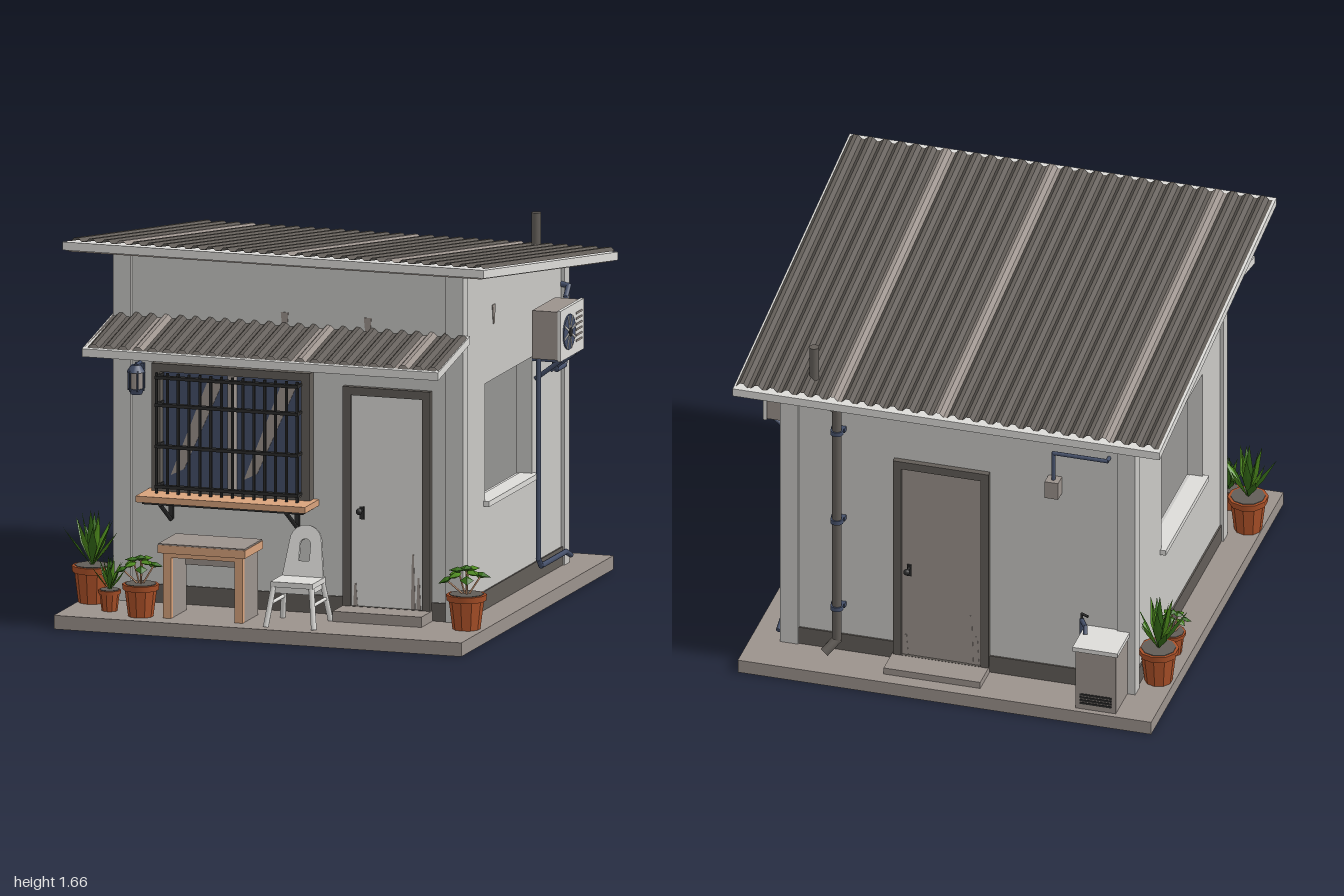
import * as THREE from 'three';

const mat = (name, color) => Object.assign(new THREE.MeshStandardMaterial({ color, side: THREE.DoubleSide }), { name });
const WALL = mat('wall plaster', 0xc9c8c5), WHITE = mat('white trim', 0xdddcd9), STONE = mat('concrete', 0x9b928c);
const DARK = mat('dark sheet', 0x625d58), BLACK = mat('black metal', 0x2b2b2b), BLUE = mat('blue steel', 0x45506a);
const WOOD = mat('wood', 0xd9a37c), CLAY = mat('terracotta', 0xac5128), LEAF = mat('leaf green', 0x4d8a1c), FERN = mat('deep green', 0x356b18);

export function createModel() {
  const root = new THREE.Group();
  let parent = root;
  const group = (name) => { parent = new THREE.Group(); parent.name = name; root.add(parent); return parent; };
  const add = (name, geo, m) => {
    const mesh = new THREE.Mesh(geo, m);
    mesh.name = name;
    parent.add(mesh);
    return mesh;
  };
  // box given by its limits on each axis
  const box = (name, m, x0, x1, y0, y1, z0, z1) =>
    add(name, new THREE.BoxGeometry(x1 - x0, y1 - y0, z1 - z0).translate((x0 + x1) / 2, (y0 + y1) / 2, (z0 + z1) / 2), m);
  const path = (C, pts) => new C(pts.map(([a, b]) => new THREE.Vector2(a, b)));
  // polygon in (z, y), extruded from x0 to x1
  const side = (name, m, pts, x0, x1, hole) => {
    const s = path(THREE.Shape, pts);
    if (hole) s.holes.push(path(THREE.Path, hole));
    return add(name, new THREE.ExtrudeGeometry(s, { depth: x1 - x0, bevelEnabled: false }).rotateY(-Math.PI / 2).translate(x1, 0, 0), m);
  };
  // polygon in (x, y), extruded from z by a depth
  const front = (name, m, pts, z, depth, holes = []) => {
    const s = path(THREE.Shape, pts);
    holes.forEach((h) => s.holes.push(path(THREE.Path, h)));
    return add(name, new THREE.ExtrudeGeometry(s, { depth, bevelEnabled: false }).translate(0, 0, z), m);
  };
  const rect = (a0, a1, b0, b1) => [[a0, b0], [a1, b0], [a1, b1], [a0, b1]];
  // chain of round rods through points
  const rods = (name, m, r, pts, sides = 8) => {
    for (let i = 1; i < pts.length; i++) {
      const a = new THREE.Vector3(...pts[i - 1]), b = new THREE.Vector3(...pts[i]);
      const mesh = add(name, new THREE.CylinderGeometry(r, r, a.distanceTo(b) + r * 0.8, sides), m);
      mesh.position.copy(a).lerp(b, 0.5);
      mesh.quaternion.setFromUnitVectors(new THREE.Vector3(0, 1, 0), b.sub(a).normalize());
    }
  };
  // corrugated sheet with a few paler ribs
  const sheet = (name, x0, x1, n, zF, yF, zB, yB, pale) => {
    const cols = n * 4, g = new THREE.PlaneGeometry(x1 - x0, 1, cols, 1).translate((x0 + x1) / 2, 0, 0), p = g.attributes.position;
    for (let i = 0; i < p.count; i++) {
      const back = i <= cols, rib = (i % (cols + 1)) % 4 > 1 ? 0.016 : 0;
      p.setXYZ(i, p.getX(i), (back ? yB : yF) + rib, back ? zB : zF);
    }
    g.clearGroups();
    for (let k = 0; k < n; k++) g.addGroup(k * 24, 24, pale.includes(k) ? 1 : 0);
    const flat = g.toNonIndexed();
    flat.computeVertexNormals();
    add(name, flat, [DARK, STONE]);
  };

  group('base');
  box('slab', STONE, -0.89, 0.95, 0, 0.06, -1, 1);
  box('frontStep', STONE, 0.28, 0.68, 0.06, 0.105, 0.58, 0.74);
  box('backStep', STONE, -0.11, 0.32, 0.06, 0.09, -0.935, -0.78);

  group('walls');
  const roofY = (z) => 1.645 + (z - 0.79) * 0.1449;
  const wallTop = (z) => roofY(z) - 0.03;
  const profile = [[-0.785, 0.06], [0.585, 0.06], [0.585, wallTop(0.585)], [-0.785, wallTop(-0.785)]];
  for (const [x0, x1, o0, o1] of [[-0.745, -0.675, -0.77, -0.69], [0.735, 0.805, 0.75, 0.83]]) {
    side('sideWall', WALL, profile, x0, x1, rect(-0.35, 0.27, 0.53, 1.04));
    box('sideSill', WHITE, o0, o1, 0.508, 0.532, -0.37, 0.285);
  }
  box('frontWall', WALL, -0.68, 0.74, 0.06, wallTop(0.52), 0.52, 0.585);
  box('backWall', WALL, -0.68, 0.74, 0.06, wallTop(-0.785), -0.785, -0.72);
  for (const [x0, x1] of [[-0.76, -0.68], [0.74, 0.82]])
    for (const [z0, z1] of [[0.535, 0.6], [-0.8, -0.735]])
      side('cornerPost', WALL, [[z0, 0.06], [z1, 0.06], [z1, wallTop(z1)], [z0, wallTop(z0)]], x0, x1);
  // dark skirting around the foot of the walls
  box('skirting', DARK, -0.68, 0.29, 0.06, 0.14, 0.58, 0.592);
  box('skirting', DARK, 0.67, 0.74, 0.06, 0.14, 0.58, 0.592);
  box('skirting', DARK, -0.68, -0.1, 0.06, 0.14, -0.792, -0.78);
  box('skirting', DARK, 0.31, 0.74, 0.06, 0.14, -0.792, -0.78);
  for (const x of [-0.752, 0.8]) box('skirting', DARK, x, x + 0.012, 0.06, 0.14, -0.735, 0.535);
  // weathering streaks
  for (const x of [0.01, 0.385]) front('stain', STONE, [[x - 0.017, 1.36], [x - 0.008, 1.27], [x + 0.01, 1.27], [x + 0.017, 1.36]], 0.585, 0.003);
  for (const x of [-0.748, 0.805]) side('stain', STONE, [[0.135, 1.365], [0.148, 1.28], [0.162, 1.28], [0.175, 1.365]], x, x + 0.003);

  group('roof');
  const roofStrip = (name, m, z0, z1, lo, hi, x0, x1) =>
    side(name, m, [[z0, roofY(z0) + lo], [z1, roofY(z1) + lo], [z1, roofY(z1) + hi], [z0, roofY(z0) + hi]], x0, x1);
  roofStrip('roofDeck', WHITE, -0.975, 0.795, -0.036, 0, -0.92, 0.98);
  roofStrip('soffit', STONE, -0.955, 0.775, -0.042, -0.034, -0.9, 0.96);
  sheet('roofSheet', -0.91, 0.97, 28, 0.77, roofY(0.77) + 0.004, -0.96, roofY(-0.96) + 0.004, [3, 14, 21]);

  group('awning');
  const awnY = (z) => 1.305 - (0.56 - z) * -0.195;
  const aw = (z) => 1.3 - (z - 0.56) * 0.19;
  const awnStrip = (name, m, z0, z1, lo, hi, x0, x1) =>
    side(name, m, [[z0, aw(z0) + lo], [z1, aw(z1) + lo], [z1, aw(z1) + hi], [z0, aw(z0) + hi]], x0, x1);
  for (const x of [-0.77, 0.82]) awnStrip('awningSide', WHITE, 0.56, 0.98, -0.03, 0.005, x, x + 0.018);
  awnStrip('awningFascia', WHITE, 0.962, 0.98, -0.03, 0.005, -0.77, 0.838);
  awnStrip('awningBoard', DARK, 0.585, 0.965, -0.012, -0.004, -0.755, 0.825);
  sheet('awningSheet', -0.765, 0.833, 24, 0.965, aw(0.965) + 0.005, 0.585, aw(0.585) + 0.005, [3, 14, 21]);
  for (const x of [-0.53, 0.03, 0.59]) {
    side('awningBracket', WOOD, [[0.585, 1.205], [0.9, 1.205], [0.9, 1.22], [0.585, 1.285]], x - 0.012, x + 0.012);
    box('bracketFoot', BLACK, x - 0.007, x + 0.007, 1.19, 1.205, 0.585, 0.62);
  }

  group('frontWindow');
  front('windowFrame', DARK, rect(-0.575, 0.14, 0.55, 1.11), 0.58, 0.055, [rect(-0.535, 0.1, 0.57, 1.075)]);
  box('glass', BLUE, -0.54, 0.105, 0.565, 1.08, 0.586, 0.595);
  box('mullion', STONE, -0.232, -0.203, 0.57, 1.075, 0.59, 0.63);
  for (const x of [-0.5, -0.17]) front('reflection', STONE, [[x, 0.62], [x + 0.06, 0.65], [x + 0.24, 1.05], [x + 0.17, 1.05]], 0.595, 0.003);
  box('windowSill', WOOD, -0.6, 0.165, 0.528, 0.555, 0.585, 0.77);
  box('sillRail', BLACK, -0.58, 0.145, 0.515, 0.528, 0.59, 0.74);
  for (const x of [-0.5, 0.07]) {
    rods('sillBracket', BLACK, 0.009, [[x, 0.515, 0.735], [x, 0.43, 0.6]]);
    box('sillBracketPlate', BLACK, x - 0.01, x + 0.01, 0.43, 0.52, 0.585, 0.6);
  }
  for (let i = 0; i < 14; i++) {
    const x = -0.535 + i * 0.0488;
    box('bar', BLACK, x - 0.005, x + 0.005, 0.555, 1.08, 0.675, 0.687);
  }
  for (const y of [0.585, 0.76, 0.94, 1.06]) {
    box('crossBar', BLACK, -0.54, 0.105, y - 0.007, y + 0.007, 0.668, 0.694);
    for (const x of [-0.535, 0.1]) box('barTie', BLACK, x - 0.005, x + 0.005, y - 0.006, y + 0.006, 0.6, 0.68);
  }

  // doors; s is the outward z direction
  const door = (name, x0, x1, y0, y1, wallZ, s, leaf, knobX) => {
    const g = group(name), w = x1 - x0;
    front('doorFrame', DARK, [[0, y0], [w, y0], [w, y1], [0, y1]], -0.02, 0.045, [rect(0.036, w - 0.036, y0 + 0.001, y1 - 0.036)]);
    box('doorLeaf', leaf, 0.036, w - 0.036, y0, y1 - 0.036, 0, 0.012);
    box('lockPlate', BLACK, knobX - 0.01, knobX + 0.01, 0.485, 0.54, 0.012, 0.018);
    rods('knobStem', BLACK, 0.006, [[knobX, 0.525, 0.012], [knobX, 0.525, 0.05]]);
    add('knob', new THREE.SphereGeometry(0.014, 10, 8).translate(knobX, 0.525, 0.055), BLACK);
    for (const [x, h] of [[0.055, 0.1], [w - 0.08, 0.24], [w - 0.055, 0.14]])
      front('doorStain', STONE, [[x - 0.01, y0], [x + 0.01, y0], [x + 0.003, y0 + h], [x - 0.005, y0 + h]], 0.012, 0.002);
    g.position.set(s > 0 ? x0 : x1, 0, wallZ);
    if (s < 0) g.rotation.y = Math.PI;
  };
  door('frontDoor', 0.28, 0.675, 0.105, 1.06, 0.587, 1, WHITE, 0.085);
  door('backDoor', -0.11, 0.315, 0.09, 1.05, -0.787, -1, STONE, 0.07);

  group('wallLantern');
  box('lanternPlate', BLUE, -0.66, -0.62, 0.99, 1.1, 0.585, 0.6);
  add('lanternGlass', new THREE.CylinderGeometry(0.028, 0.028, 0.075, 8).translate(-0.64, 1.035, 0.645), STONE);
  add('lanternCap', new THREE.CylinderGeometry(0.022, 0.042, 0.03, 8).translate(-0.64, 1.085, 0.645), BLUE);
  add('lanternFoot', new THREE.CylinderGeometry(0.036, 0.026, 0.025, 8).translate(-0.64, 0.985, 0.645), BLUE);
  for (let i = 0; i < 6; i++) {
    const x = -0.64 + 0.034 * Math.cos(i * Math.PI / 3), z = 0.645 + 0.034 * Math.sin(i * Math.PI / 3);
    rods('lanternCage', BLUE, 0.004, [[x, 0.99, z], [x, 1.075, z]], 5);
  }
  rods('lanternArm', BLUE, 0.008, [[-0.64, 1.1, 0.59], [-0.64, 1.1, 0.645]]);

  group('airConditioner');
  box('unitBody', STONE, 0.82, 0.935, 1.04, 1.25, -0.61, -0.31);
  box('unitFace', WHITE, 0.935, 0.95, 1.035, 1.255, -0.615, -0.305);
  add('fanDisc', new THREE.CylinderGeometry(0.077, 0.077, 0.008, 28).rotateZ(Math.PI / 2).translate(0.952, 1.147, -0.41), BLUE);
  for (let i = 0; i < 4; i++)
    add('fanBlade', new THREE.BoxGeometry(0.004, 0.15, 0.009).rotateX(i * Math.PI / 4 + 0.3).translate(0.957, 1.147, -0.41), WHITE);
  add('fanHub', new THREE.CylinderGeometry(0.02, 0.02, 0.008, 12).rotateZ(Math.PI / 2).translate(0.958, 1.147, -0.41), BLACK);
  for (let i = 0; i < 6; i++) box('slat', STONE, 0.95, 0.953, 1.085 + i * 0.024, 1.093 + i * 0.024, -0.585, -0.505);
  for (const z of [-0.36, -0.56]) {
    box('unitBracket', BLUE, 0.805, 0.94, 1.022, 1.04, z - 0.01, z + 0.01);
    rods('unitStrut', BLUE, 0.01, [[0.925, 1.025, z], [0.82, 0.945, z]]);
  }
  rods('drainPipe', BLUE, 0.012, [[0.835, 1.04, -0.35], [0.835, 0.16, -0.35], [0.835, 0.125, -0.385], [0.835, 0.125, -0.71], [0.835, 0.1, -0.77]]);
  rods('coolantPipe', BLUE, 0.012, [[0.84, 1.03, -0.55], [0.84, 0.97, -0.55], [0.84, 0.945, -0.575], [0.84, 0.945, -0.67],
    [0.84, 0.97, -0.69], [0.84, 1.24, -0.695], [0.84, 1.28, -0.73], [0.8, 1.285, -0.735]]);

  group('downpipe');
  rods('ventPipe', DARK, 0.021, [[0.66, 1.56, -0.83], [0.66, 1.34, -0.83], [0.56, 1.27, -0.825], [0.56, 0.13, -0.825], [0.6, 0.085, -0.86]], 12);
  for (const y of [0.29, 0.72, 1.16]) {
    add('pipeStrap', new THREE.CylinderGeometry(0.028, 0.028, 0.02, 12).translate(0.56, y, -0.825), BLUE);
    box('strapPlate', BLUE, 0.53, 0.59, y - 0.01, y + 0.01, -0.81, -0.785);
  }

  group('backLight');
  rods('conduit', BLUE, 0.009, [[-0.64, 1.21, -0.79], [-0.64, 1.21, -0.815], [-0.4, 1.21, -0.815], [-0.4, 1.08, -0.815]]);
  box('lightBox', STONE, -0.43, -0.37, 1.0, 1.08, -0.845, -0.785);

  group('washStand');
  box('standBody', STONE, -0.725, -0.545, 0.06, 0.345, -0.975, -0.8);
  box('standTop', WHITE, -0.735, -0.535, 0.345, 0.365, -0.985, -0.79);
  for (let i = 0; i < 4; i++) box('vent', BLACK, -0.705, -0.565, 0.085 + i * 0.014, 0.094 + i * 0.014, -0.978, -0.974);
  rods('tap', BLUE, 0.01, [[-0.525, 0.2, -0.81], [-0.525, 0.4, -0.81], [-0.555, 0.4, -0.86], [-0.56, 0.375, -0.875]]);
  rods('tapHandle', BLACK, 0.006, [[-0.525, 0.4, -0.81], [-0.525, 0.43, -0.81], [-0.555, 0.43, -0.825]]);

  group('table');
  box('tableTop', WOOD, -0.45, -0.055, 0.345, 0.38, 0.68, 0.92);
  box('tableSurface', STONE, -0.447, -0.058, 0.38, 0.386, 0.683, 0.917);
  box('tableApron', STONE, -0.4, -0.1, 0.26, 0.345, 0.7, 0.715);
  for (const x of [-0.43, -0.107]) {
    box('tableSide', STONE, x, x + 0.037, 0.06, 0.345, 0.7, 0.88);
    box('tableLeg', WOOD, x, x + 0.037, 0.06, 0.345, 0.88, 0.905);
  }
  box('tableRail', WOOD, -0.4, -0.1, 0.325, 0.345, 0.885, 0.905);

  const chair = group('chair');
  box('seat', WHITE, -0.095, 0.095, 0.232, 0.255, 0.75, 0.925);
  box('seatSkirt', WHITE, -0.085, 0.085, 0.205, 0.232, 0.76, 0.915);
  const arch = (w0, w1, y0, y1) => {
    const pts = [[-w0, y0], [w0, y0]];
    for (let i = 0; i <= 10; i++) pts.push([w1 * Math.cos(i * Math.PI / 10), y1 - w1 + w1 * Math.sin(i * Math.PI / 10)]);
    return pts;
  };
  const back = front('chairBack', WHITE, arch(0.093, 0.072, 0, 0.225), -0.008, 0.016, [arch(0.024, 0.024, 0.07, 0.165)]);
  back.position.set(0, 0.25, 0.77);
  back.rotation.x = -0.24;
  for (const s of [-1, 1]) {
    rods('chairLeg', WHITE, 0.012, [[s * 0.085, 0.235, 0.91], [s * 0.108, 0.065, 0.945]]);
    rods('chairLeg', WHITE, 0.012, [[s * 0.085, 0.235, 0.765], [s * 0.108, 0.065, 0.725]]);
    rods('chairRail', WHITE, 0.008, [[s * 0.095, 0.16, 0.925], [s * 0.095, 0.16, 0.75]]);
  }
  chair.position.x = 0.157;

  // potted plants: [x, z, pot radius, pot height, plant height, spiky]
  const plants = [[-0.83, 0.67, 0.088, 0.16, 0.24, true], [-0.7, 0.82, 0.05, 0.09, 0.15, true], [-0.535, 0.89, 0.08, 0.14, 0.13, false],
    [0.87, 0.7, 0.088, 0.15, 0.13, false], [-0.82, -0.65, 0.088, 0.16, 0.24, true], [-0.81, -0.41, 0.06, 0.1, 0.11, false]];
  for (const [x, z, r, h, tall, spiky] of plants) {
    const g = group('pottedPlant'), top = 0.06 + h;
    add('pot', new THREE.CylinderGeometry(r * 0.9, r * 0.68, h, 10).translate(0, 0.06 + h / 2, 0).toNonIndexed(), CLAY).geometry.computeVertexNormals();
    add('potRim', new THREE.CylinderGeometry(r, r * 0.96, h * 0.18, 10).translate(0, top - h * 0.09, 0), CLAY);
    add('soil', new THREE.CylinderGeometry(r * 0.85, r * 0.85, 0.006, 10).translate(0, top, 0), DARK);
    const n = spiky ? 13 : 11;
    for (let i = 0; i < n; i++) {
      const a = i * 2.4, t = i / (n - 1), m = i % 2 ? LEAF : FERN;
      if (spiky) {
        const len = tall * (1.04 - 0.18 * t), blade = new THREE.OctahedronGeometry(1).scale(tall * 0.085, len / 2, tall * 0.02).translate(0, len / 2, 0);
        const leaf = add('blade', blade.rotateX(0.08 + 0.66 * t).rotateY(a), m);
        leaf.position.y = top - 0.005;
      } else {
        const d = r * 1.0 * Math.sqrt(t), y = top + tall * (0.88 - 0.38 * t), px = d * Math.sin(a), pz = d * Math.cos(a);
        const leaf = add('leaf', new THREE.OctahedronGeometry(1).scale(r * 0.34, r * 0.15, r * 0.44).rotateX(0.45 * t).rotateY(a), m);
        leaf.position.set(px, y, pz);
        if (i % 2 === 0) rods('stem', WOOD, 0.004, [[px * 0.15, top, pz * 0.15], [px * 0.85, y - 0.01, pz * 0.85]], 5);
      }
    }
    g.position.set(x, 0, z);
  }
  return root;
}
